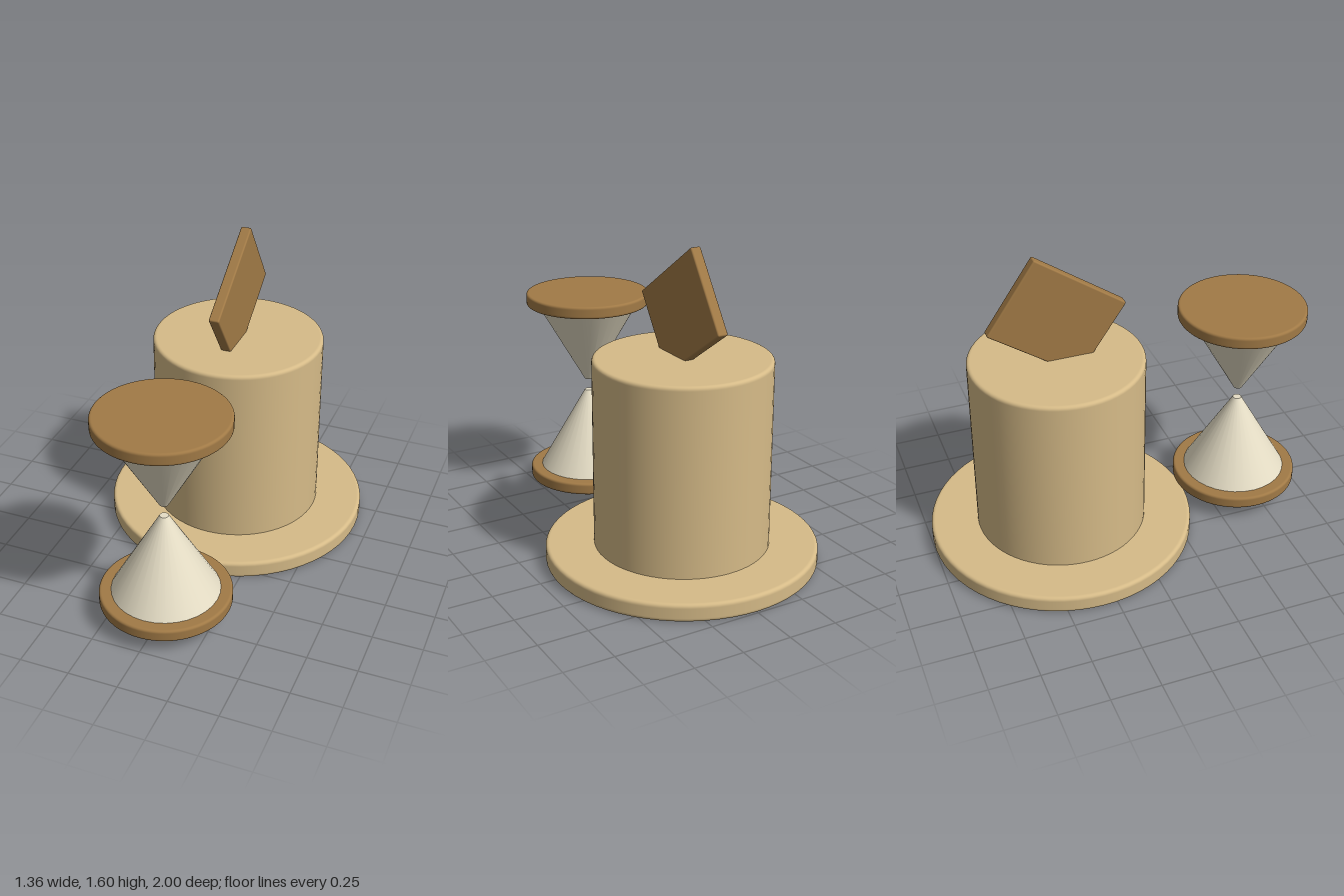
import * as THREE from 'three';
import { RoundedBoxGeometry } from 'three/addons/geometries/RoundedBoxGeometry.js';

const mat = (name, color) => {
  const m = new THREE.MeshStandardMaterial({ color });
  m.name = name;
  return m;
};

// Round slab standing on y = 0 with softly rounded rims
function roundedDisc(radius, height, bevel) {
  const pts = [[0, 0], [radius - bevel - 0.004, 0]];
  const steps = 5;
  for (const top of [false, true]) {
    const cy = top ? height - bevel : bevel;
    for (let i = 0; i <= steps; i++) {
      const a = (i / steps) * Math.PI / 2 - (top ? 0 : Math.PI / 2);
      pts.push([radius - bevel + bevel * Math.cos(a), cy + bevel * Math.sin(a)]);
    }
    // guard rings keep the straight wall evenly shaded
    if (!top) pts.push([radius, bevel + 0.004], [radius, height - bevel - 0.004]);
  }
  pts.push([radius - bevel - 0.004, height], [0, height]);
  return new THREE.LatheGeometry(pts.map(p => new THREE.Vector2(...p)), 64);
}

export function createModel() {
  const root = new THREE.Group();
  const tan = mat('tan', 0xd6bb88);
  const brown = mat('brown', 0xa17a46);
  const cream = mat('cream', 0xe6dec6);

  const add = (parent, name, geometry, material, x, y, z) => {
    const mesh = new THREE.Mesh(geometry, material);
    mesh.name = name;
    mesh.position.set(x, y, z);
    parent.add(mesh);
    return mesh;
  };

  // Hat: wide brim, tall crown and a tilted card stuck into the top
  const hat = new THREE.Group();
  hat.name = 'hat';
  hat.position.z = -0.32;
  root.add(hat);
  add(hat, 'brim', roundedDisc(0.68, 0.09, 0.017), tan, 0, 0, 0);
  add(hat, 'crown', roundedDisc(0.438, 0.985, 0.017), tan, 0, 0.06, 0);
  const card = add(hat, 'card', new RoundedBoxGeometry(0.054, 0.436, 0.55, 3, 0.008), brown, 0, 1.266, 0.005);
  card.rotation.x = 0.6;

  // Hourglass: two end plates and two cones that almost meet
  const hourglass = new THREE.Group();
  hourglass.name = 'hourglass';
  hourglass.position.z = 0.672;
  root.add(hourglass);
  const plate = roundedDisc(0.328, 0.064, 0.012);
  add(hourglass, 'lowerPlate', plate, brown, 0, 0.081, 0);
  add(hourglass, 'upperPlate', plate, brown, 0, 1.071, 0);
  const coneHeight = 0.433;
  add(hourglass, 'lowerBulb', new THREE.CylinderGeometry(0.022, 0.27, coneHeight, 32), cream, 0, 0.143 + coneHeight / 2, 0);
  add(hourglass, 'upperBulb', new THREE.CylinderGeometry(0.27, 0.022, coneHeight, 32), cream, 0, 1.073 - coneHeight / 2, 0);

  return root;
}
